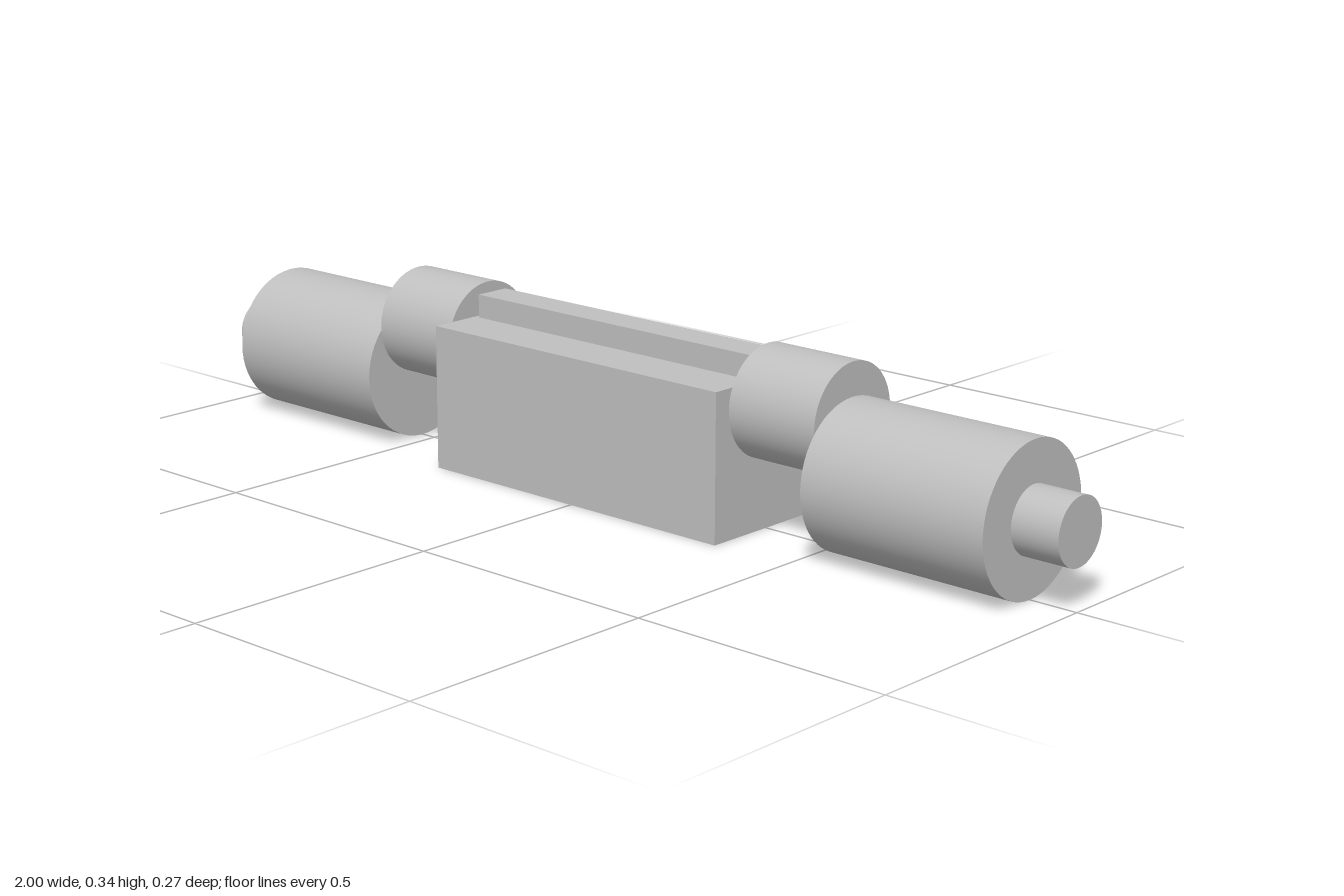
import * as THREE from 'three';

export function createModel() {
  const model = new THREE.Group();
  const grey = new THREE.MeshStandardMaterial({ color: 0xbfbfbf });
  grey.name = 'light grey';

  const add = (name, geometry, x, y) => {
    const mesh = new THREE.Mesh(geometry, grey);
    mesh.name = name;
    mesh.position.set(x, y, 0);
    model.add(mesh);
  };

  // Cylinder lying along x, from x0 to x1
  const rod = (name, radius, x0, x1, y, side) => {
    const geometry = new THREE.CylinderGeometry(radius, radius, x1 - x0, 64);
    geometry.rotateZ(Math.PI / 2);
    add(name, geometry, side * (x0 + x1) / 2, y);
  };

  // Central block with a narrow rail on top
  add('centreBlock', new THREE.BoxGeometry(0.69, 0.274, 0.274), 0, 0.137);
  add('topRail', new THREE.BoxGeometry(0.67, 0.044, 0.07), 0, 0.296);

  // Raised collar, large barrel and end pin on each side
  for (const [label, side] of [['left', 1], ['right', -1]]) {
    rod(label + 'Collar', 0.103, 0.345, 0.533, 0.233, side);
    rod(label + 'Barrel', 0.137, 0.533, 0.908, 0.137, side);
    rod(label + 'EndPin', 0.061, 0.908, 1, 0.137, side);
  }

  return model;
}
